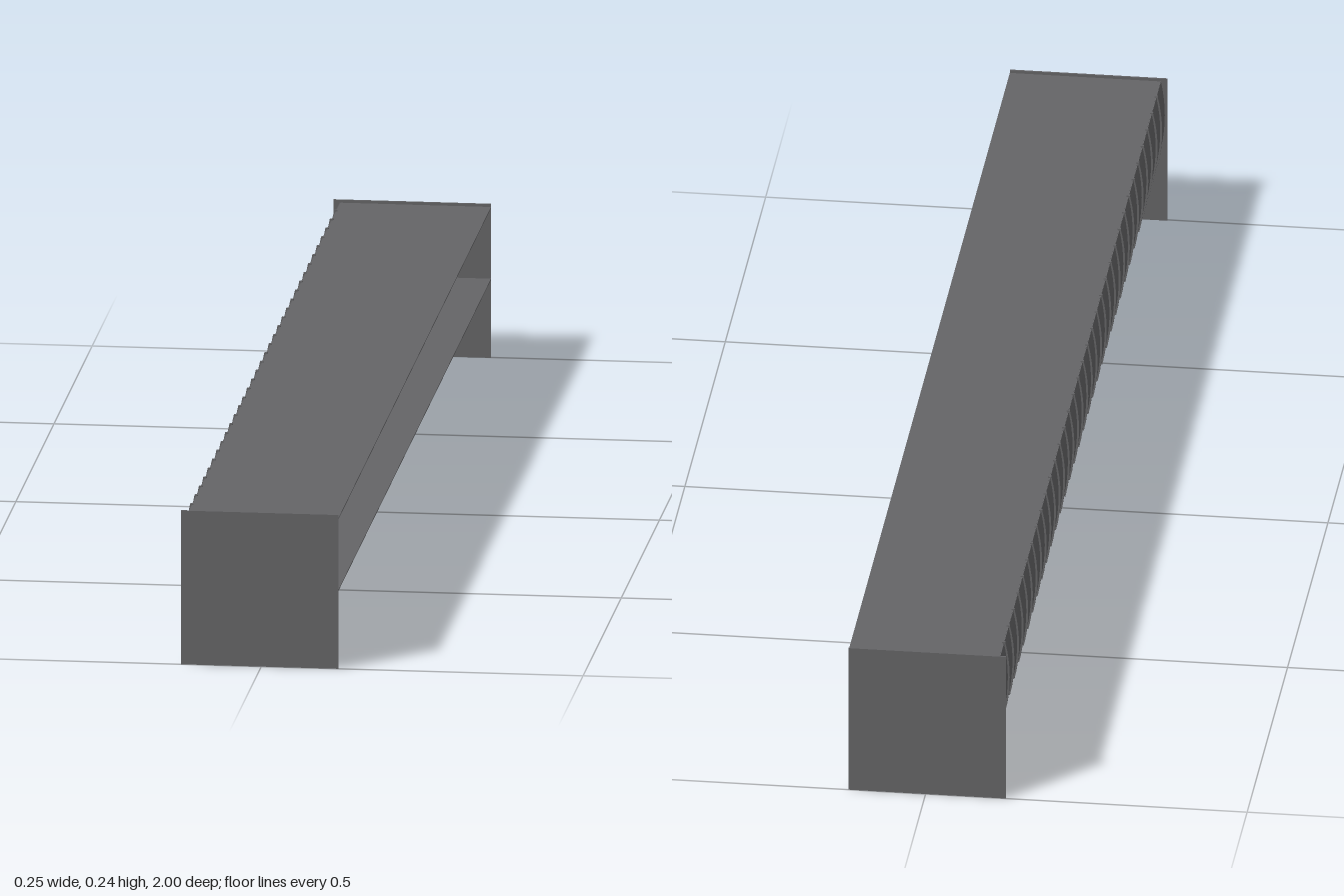
import * as THREE from 'three';

export function createModel() {
  const model = new THREE.Group();
  const material = (name, color) => {
    const m = new THREE.MeshStandardMaterial({ color });
    m.name = name;
    return m;
  };
  const steel = material('grey steel', 0x656567);
  const light = material('light grey', 0xdedede);

  const add = (name, geometry, mat, x, y, z, parent = model) => {
    const mesh = new THREE.Mesh(geometry, mat);
    mesh.name = name;
    mesh.position.set(x, y, z);
    parent.add(mesh);
  };
  // Box given by its limits on each axis
  const box = (name, [x0, x1], [y0, y1], [z0, z1]) => add(name,
    new THREE.BoxGeometry(x1 - x0, y1 - y0, z1 - z0), steel,
    (x0 + x1) / 2, (y0 + y1) / 2, (z0 + z1) / 2);
  // Profile extruded along z about its middle
  const extrude = (shape, depth) => new THREE.ExtrudeGeometry(shape,
    { depth, bevelEnabled: false, curveSegments: 8 }).translate(0, 0, -depth / 2);

  // Channel open on one side, between thin end plates
  const length = [-0.997, 0.997];
  box('topPlate', [-0.114, 0.12], [0.238, 0.24], length);
  box('lowerPlate', [-0.114, 0.12], [0.124, 0.126], length);
  box('frontEndPlate', [-0.125, 0.12], [0, 0.2445], [0.997, 1]);
  box('backEndPlate', [-0.125, 0.12], [0, 0.2445], [-1, -0.997]);

  // Side wall, bowed slightly outward
  const wall = new THREE.Shape();
  wall.moveTo(-0.112, 0.125);
  wall.quadraticCurveTo(-0.124, 0.182, -0.112, 0.239);
  wall.lineTo(-0.115, 0.24);
  wall.quadraticCurveTo(-0.127, 0.182, -0.115, 0.124);
  add('sideWall', extrude(wall, 1.994), steel, 0, 0, 0);

  // Thin ribs through the wall, standing out on both faces
  const profile = new THREE.Shape();
  profile.moveTo(-0.112, 0.122);
  profile.lineTo(-0.112, 0.242);
  profile.lineTo(-0.117, 0.242);
  profile.quadraticCurveTo(-0.131, 0.182, -0.117, 0.122);
  const ribGeometry = extrude(profile, 0.004);
  const ribs = new THREE.Group();
  ribs.name = 'ribs';
  model.add(ribs);
  const bays = 35;
  for (let i = 1; i < bays; i++) {
    add('rib', ribGeometry, steel, 0, 0, 1 - (2 * i) / bays, ribs);
  }

  // Small light fittings set through the lower plate near each end
  for (const z of [0.967, -0.941]) {
    const fitting = new THREE.Group();
    fitting.name = 'fitting';
    fitting.position.z = z;
    model.add(fitting);
    add('fittingDisc', new THREE.CylinderGeometry(0.017, 0.017, 0.004, 20), light, 0, 0.125, 0, fitting);
    add('fittingStem', new THREE.CylinderGeometry(0.014, 0.01, 0.038, 16), light, 0, 0.146, 0, fitting);
  }
  return model;
}
